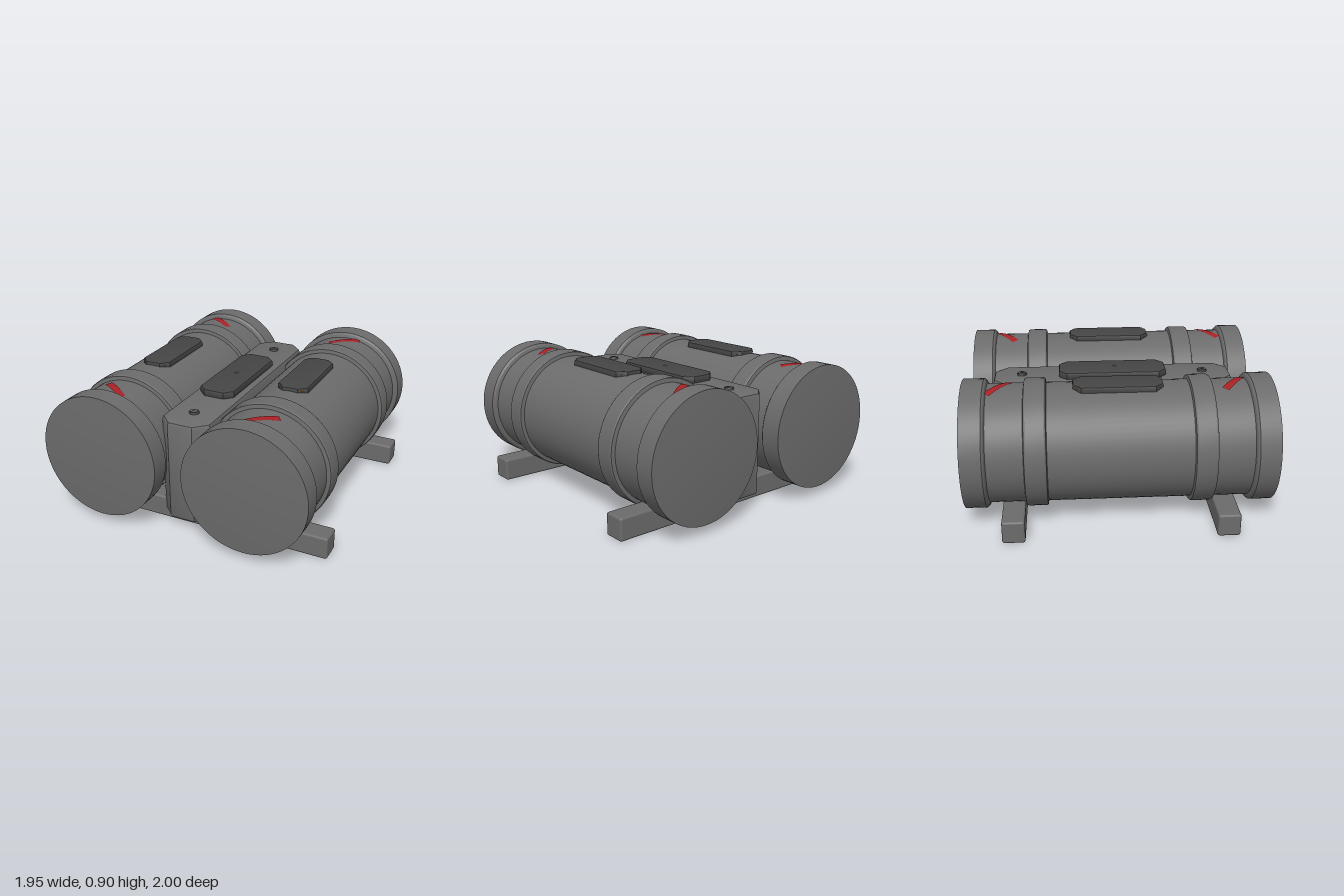
import * as THREE from 'three';
import { toCreasedNormals, mergeVertices } from 'three/addons/utils/BufferGeometryUtils.js';
import { RoundedBoxGeometry } from 'three/addons/geometries/RoundedBoxGeometry.js';

const TANK_X = 0.51, TANK_Y = 0.48, TANK_R = 0.385;

const material = (name, color) => {
  const m = new THREE.MeshStandardMaterial({ color });
  m.name = name;
  return m;
};

// Rectangle in plan with cut corners: half width w, half length l, cut c
function cutCornerPoints(w, l, c) {
  return [[w, l - c], [w - c, l], [c - w, l], [-w, l - c], [-w, c - l], [c - w, -l], [w - c, -l], [w, c - l]]
    .map(([x, y]) => new THREE.Vector2(x, y));
}

// Upright bevelled slab from y0 to y1, with an optional opening [w, l, c]
function slab(w, l, c, y0, y1, bevel, opening) {
  const shape = new THREE.Shape(cutCornerPoints(w - bevel, l - bevel, c));
  if (opening) {
    const [a, b, d] = opening;
    shape.holes.push(new THREE.Path(cutCornerPoints(a + bevel, b + bevel, d).reverse()));
  }
  const geo = new THREE.ExtrudeGeometry(shape, {
    depth: y1 - y0 - 2 * bevel, bevelEnabled: true, bevelSize: bevel, bevelThickness: bevel, bevelSegments: 2,
  });
  geo.rotateX(-Math.PI / 2).translate(0, y0 + bevel, 0);
  return toCreasedNormals(geo, 0.5);
}

// Tank with slightly domed end caps and two raised bands
function tankGeometry() {
  const half = [[0, 1], [0.23, 1], [0.418, 0.985], [0.418, 0.85], [0.405, 0.837], [TANK_R, 0.83],
    [TANK_R, 0.6], [0.41, 0.595], [0.415, 0.585], [0.415, 0.47], [0.41, 0.46], [TANK_R, 0.455]];
  const profile = [
    ...half.map(([r, z]) => new THREE.Vector2(r, -z)),
    ...half.slice().reverse().map(([r, z]) => new THREE.Vector2(r, z)),
  ];
  const geo = new THREE.LatheGeometry(profile, 64).rotateX(Math.PI / 2);
  return toCreasedNormals(geo, 0.4);
}

// Slanted strip wrapped over the top of the tank
function stripeGeometry(angle) {
  const geo = new THREE.PlaneGeometry(0.235, 0.05, 16, 2).rotateX(-Math.PI / 2).rotateY(angle);
  const p = geo.attributes.position;
  for (let i = 0; i < p.count; i++) p.setY(i, Math.sqrt((TANK_R + 0.004) ** 2 - p.getX(i) ** 2));
  geo.computeVertexNormals();
  return geo;
}

// Window pane with softly blended normals
function paneGeometry() {
  const geo = new THREE.BoxGeometry(0.16, 0.009, 0.53);
  geo.deleteAttribute('normal');
  geo.deleteAttribute('uv');
  const merged = mergeVertices(geo);
  merged.computeVertexNormals();
  return merged;
}

export function createModel() {
  const model = new THREE.Group();
  const grey = material('body grey', 0x6b6b6b);
  const dark = material('dark grey', 0x454545);
  const orange = material('window orange', 0xf0850f);
  const red = material('marking red', 0xa82226);
  red.side = THREE.DoubleSide;

  const add = (name, geo, mat, x = 0, y = 0, z = 0) => {
    const mesh = new THREE.Mesh(geo, mat);
    mesh.name = name;
    mesh.position.set(x, y, z);
    model.add(mesh);
    return mesh;
  };

  // Twin tanks with windows and markings
  const tank = tankGeometry();
  const frame = slab(0.105, 0.288, 0.045, 0.83, 0.888, 0.012, [0.073, 0.256, 0.02]);
  const pane = paneGeometry();
  for (const [side, s] of [['left', 1], ['right', -1]]) {
    const x = s * TANK_X;
    add(`${side}Tank`, tank, grey, x, TANK_Y);
    add(`${side}WindowFrame`, frame, dark, x);
    add(`${side}WindowPane`, pane, orange, x, 0.868);
    const stripe = stripeGeometry(s * 0.62);
    add(`${side}FrontMarking`, stripe, red, x + s * 0.005, TANK_Y, 0.745);
    add(`${side}BackMarking`, stripe, red, x + s * 0.005, TANK_Y, -0.758);
  }

  // Central spine between the tanks
  add('spine', slab(0.17, 0.823, 0.07, 0.055, 0.752, 0.025), grey);
  add('topPlate', slab(0.125, 0.37, 0.045, 0.745, 0.8, 0.015), dark, 0, 0, -0.003);
  const arrow = new THREE.ConeGeometry(0.062, 0.025, 3).rotateY(Math.PI).toNonIndexed();
  arrow.computeVertexNormals();
  add('arrowMarker', arrow, grey, 0, 0.795, 0.015);

  // Bolts and cross skids, front and back
  const boltRim = new THREE.CylinderGeometry(0.03, 0.035, 0.016, 24);
  const boltHead = new THREE.CylinderGeometry(0.023, 0.023, 0.006, 24);
  const boltSocket = new THREE.CylinderGeometry(0.012, 0.012, 0.004, 6);
  const skid = new RoundedBoxGeometry(1.945, 0.15, 0.145, 3, 0.015);
  for (const [end, s] of [['front', 1], ['back', -1]]) {
    const z = s * 0.63;
    add(`${end}BoltRim`, boltRim, dark, 0, 0.757, z);
    add(`${end}BoltHead`, boltHead, grey, 0, 0.764, z);
    add(`${end}BoltSocket`, boltSocket, dark, 0, 0.767, z);
    add(`${end}Skid`, skid, grey, 0, 0.075, s * 0.677);
  }
  return model;
}
